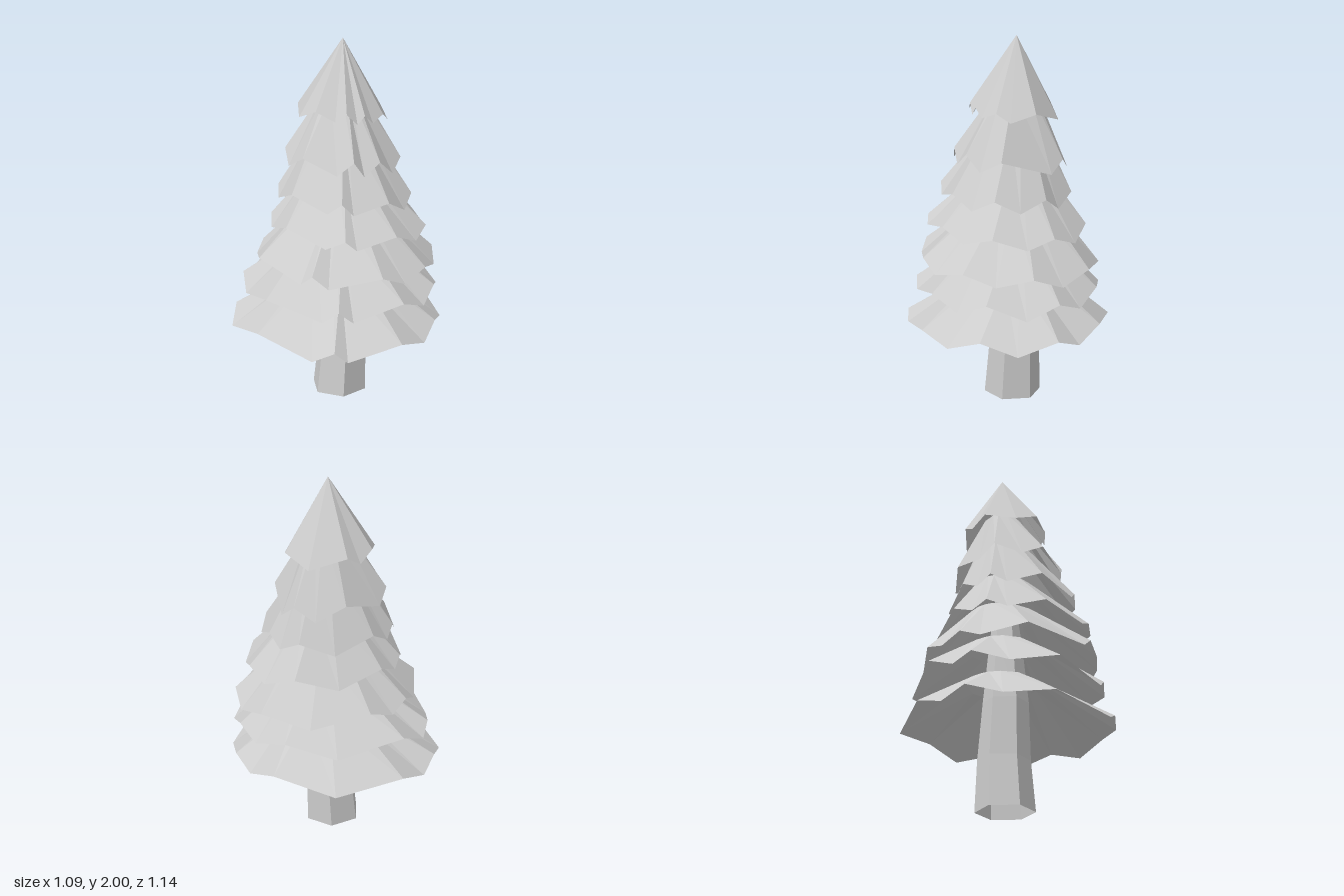
import * as THREE from 'three';

const material = new THREE.MeshStandardMaterial({ color: 0xcccccc, flatShading: true, side: THREE.DoubleSide });

// Small seeded generator for the hand-cut irregularity, -1 to 1
function seeded(seed) {
  let s = seed;
  return () => {
    s = (s * 16807) % 2147483647;
    return (s / 2147483647) * 2 - 1;
  };
}

// Skins equally sized rings, ordered from the top down, as an open shell
function skin(rings) {
  const n = rings[0].length;
  const index = [];
  for (let r = 0; r < rings.length - 1; r++) {
    for (let i = 0; i < n; i++) {
      const a = r * n + i, b = r * n + (i + 1) % n;
      index.push(a, b, a + n, b, b + n, a + n);
    }
  }
  const g = new THREE.BufferGeometry();
  g.setAttribute('position', new THREE.Float32BufferAttribute(rings.flat(2), 3));
  g.setIndex(index);
  const flat = g.toNonIndexed();
  flat.computeVertexNormals();
  return flat;
}

// Angles of the rim corners in degrees from +x to +z; they alternate low and high
const wideCut = [0, 15, 36, 57, 77, 96, 126, 135, 145, 183, 213, 230, 243, 261, 301, 335];
const upperCut = [0, 50, 72, 90, 106, 120, 136, 170, 195, 222, 240, 285, 315, 340];
const topCut = [-30, 10, 40, 60, 83, 96, 110, 122, 140, 165, 197, 242, 262, 282];

// Tiers from the bottom up: rim height, height and radius of the inner edge,
// zigzag, tilt, rim cut turned by twist degrees, and rim radii every 30 degrees
const tiers = [
  { y: 0.447, top: 0.71, inner: 0.2, zig: 0.027, tilt: 0, cut: wideCut, twist: 0, rim: [0.53, 0.575, 0.54, 0.57, 0.57, 0.59, 0.55, 0.61, 0.59, 0.575, 0.56, 0.53] },
  { y: 0.645, top: 0.92, inner: 0.19, zig: 0.03, tilt: 0.02, cut: wideCut, twist: -3, rim: [0.51, 0.55, 0.52, 0.53, 0.52, 0.53, 0.53, 0.53, 0.56, 0.53, 0.5, 0.49] },
  { y: 0.81, top: 1.12, inner: 0.18, zig: 0.027, tilt: 0.05, cut: wideCut, twist: 12, rim: [0.52, 0.53, 0.51, 0.52, 0.51, 0.5, 0.49, 0.47, 0.46, 0.46, 0.46, 0.5] },
  { y: 1.0, top: 1.3, inner: 0.16, zig: 0.027, tilt: 0.06, cut: wideCut, twist: -5, rim: [0.46, 0.47, 0.47, 0.46, 0.46, 0.43, 0.39, 0.38, 0.38, 0.38, 0.38, 0.42] },
  { y: 1.17, top: 1.53, inner: 0.14, zig: 0.03, tilt: 0.06, cut: wideCut, twist: -4, rim: [0.34, 0.38, 0.39, 0.395, 0.38, 0.38, 0.35, 0.34, 0.33, 0.31, 0.32, 0.34] },
  { y: 1.36, top: 1.72, inner: 0.1, zig: 0.035, tilt: 0.1, cut: upperCut, twist: 0, rim: [0.31, 0.33, 0.32, 0.31, 0.31, 0.31, 0.31, 0.3, 0.29, 0.27, 0.29, 0.31] },
  { y: 1.61, top: 2.0, inner: 0, zig: 0.023, tilt: 0.1, cut: topCut, twist: 0, rim: [0.255, 0.26, 0.235, 0.225, 0.22, 0.23, 0.24, 0.235, 0.24, 0.24, 0.25, 0.26] },
];

// Rim radius at any angle, blended between the listed radii
function radiusAt(rim, degrees) {
  const p = ((degrees + 360) % 360) / 30;
  const i = Math.floor(p);
  return THREE.MathUtils.lerp(rim[i], rim[(i + 1) % 12], p - i);
}

function skirt(t, k) {
  const rand = seeded(101 + k * 977);
  const top = [], rim = [];
  t.cut.forEach((angle, i) => {
    const degrees = angle + t.twist + rand() * 2;
    const radius = radiusAt(t.rim, degrees);
    const a = THREE.MathUtils.degToRad(degrees);
    const x = radius * Math.cos(a), z = radius * Math.sin(a);
    const wave = (i % 2 ? t.zig : -t.zig) + rand() * 0.006;
    rim.push([x, t.y + wave - t.tilt * x, z]);
    top.push([0.028 + t.inner * Math.cos(a), t.top, -0.012 + t.inner * Math.sin(a)]);
  });
  return skin([top, rim]);
}

export function createModel() {
  const group = new THREE.Group();
  group.name = 'pineTree';

  tiers.forEach((t, k) => {
    const mesh = new THREE.Mesh(skirt(t, k), material);
    mesh.name = k === tiers.length - 1 ? 'treeTop' : `branchTier${k + 1}`;
    group.add(mesh);
  });

  // Slightly bent, tapering six-sided trunk: height, centre x, centre z, half width x, half width z
  const sections = [[1.5, 0.02, 0, 0.02, 0.02], [0.95, 0.01, 0, 0.085, 0.09], [0.6, 0.008, 0, 0.12, 0.125], [0.28, 0.018, -0.005, 0.143, 0.14], [0, 0, -0.008, 0.16, 0.157]];
  const rings = sections.map(([y, cx, cz, rx, rz]) => Array.from({ length: 6 }, (_, i) => {
    const a = i * Math.PI / 3 + 0.04;
    return [cx + rx * Math.cos(a), y, cz + rz * Math.sin(a)];
  }));
  const trunk = new THREE.Mesh(skin(rings), material);
  trunk.name = 'trunk';
  group.add(trunk);

  return group;
}
